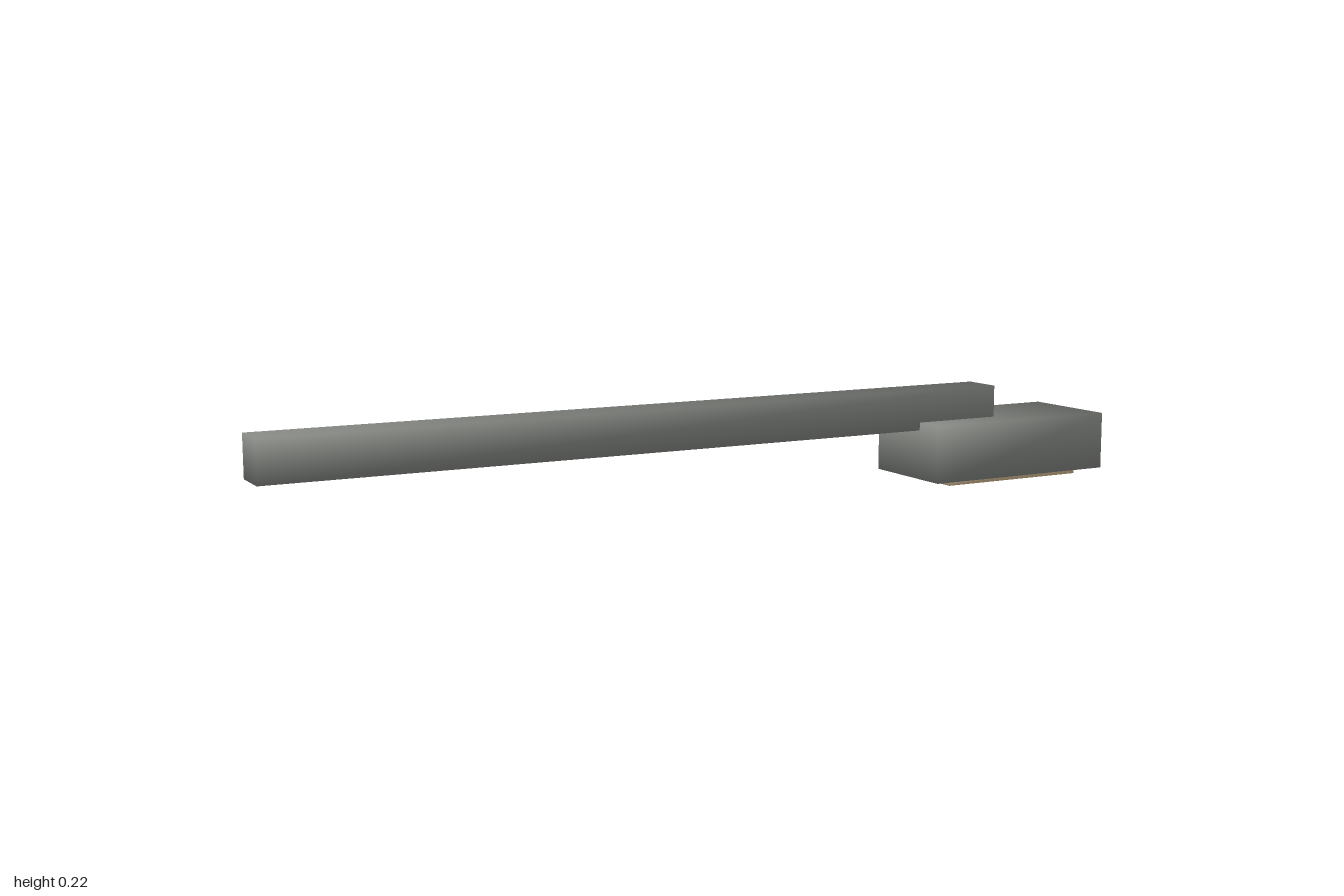
import * as THREE from 'three';

const metal = new THREE.MeshStandardMaterial({ color: 0x8b8e89 });
metal.name = 'grey metal';
const warm = new THREE.MeshStandardMaterial({ color: 0xdcc097 });
warm.name = 'warm diffuser';

// Box between two corners, with normals blended smoothly across its edges
function softBox(name, min, max, material) {
  const size = max.map((v, i) => v - min[i]);
  const geometry = new THREE.BoxGeometry(...size);
  const position = geometry.attributes.position;
  const normal = geometry.attributes.normal;
  const k = 1 / Math.sqrt(3);
  for (let i = 0; i < position.count; i++) {
    normal.setXYZ(
      i,
      Math.sign(position.getX(i)) * k,
      Math.sign(position.getY(i)) * k,
      Math.sign(position.getZ(i)) * k
    );
  }
  const mesh = new THREE.Mesh(geometry, material);
  mesh.name = name;
  mesh.position.set(...max.map((v, i) => (v + min[i]) / 2));
  return mesh;
}

export function createModel() {
  const model = new THREE.Group();
  model.name = 'lampArm';
  model.add(
    // Long bar resting in the top of the head
    softBox('arm', [-1, 0.126, -0.046], [0.735, 0.217, 0.046], metal),
    // Wide block at the end
    softBox('head', [0.525, 0.013, -0.119], [1, 0.144, 0.119], metal),
    // Light panel below the head
    softBox('diffuser', [0.578, 0, -0.092], [0.942, 0.02, 0.092], warm)
  );
  return model;
}
